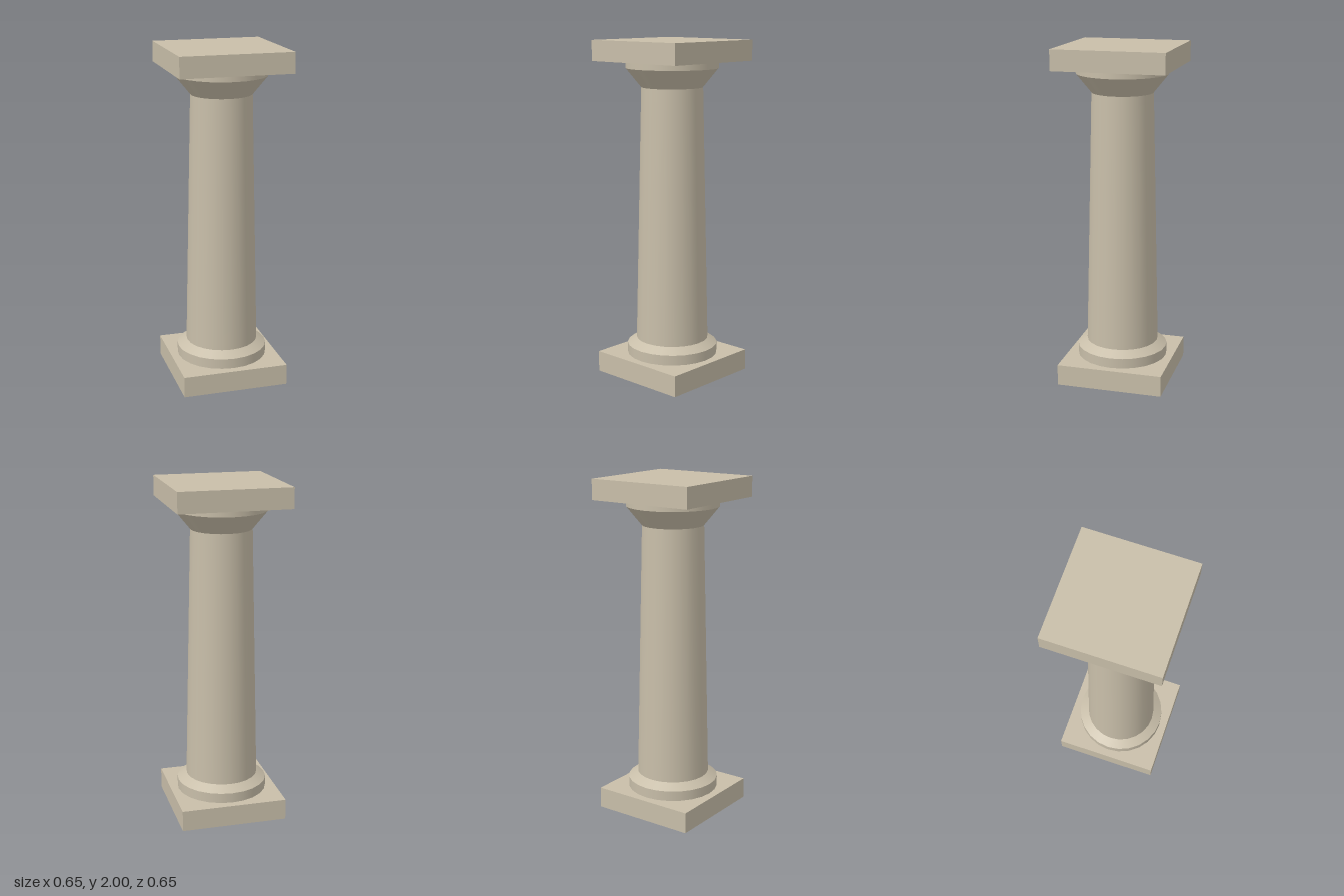
import * as THREE from 'three';

export function createModel() {
  const model = new THREE.Group();
  model.name = 'column';
  const stone = new THREE.MeshStandardMaterial({ color: 0xc8bea9 });
  stone.name = 'warm stone';

  const add = (name, geometry, y0, y1) => {
    const mesh = new THREE.Mesh(geometry, stone);
    mesh.name = name;
    mesh.position.y = (y0 + y1) / 2;
    model.add(mesh);
  };
  const slab = (name, width, y0, y1) =>
    add(name, new THREE.BoxGeometry(width, y1 - y0, width), y0, y1);
  // Round sections keep a crisp edge where they meet
  const drum = (name, rBottom, rTop, y0, y1) =>
    add(name, new THREE.CylinderGeometry(rTop, rBottom, y1 - y0, 24, 1, true), y0, y1);

  // Square base and its chamfered ring
  slab('plinth', 0.632, 0, 0.125);
  drum('baseRing', 0.27, 0.27, 0.125, 0.185);
  drum('baseChamfer', 0.27, 0.215, 0.185, 0.22);

  // Tapered shaft
  drum('shaft', 0.215, 0.18, 0.22, 1.73);

  // Flared capital under a square top
  drum('capitalFlare', 0.18, 0.27, 1.73, 1.84);
  drum('capitalRing', 0.27, 0.27, 1.84, 1.88);
  slab('topSlab', 0.654, 1.88, 2);

  return model;
}
